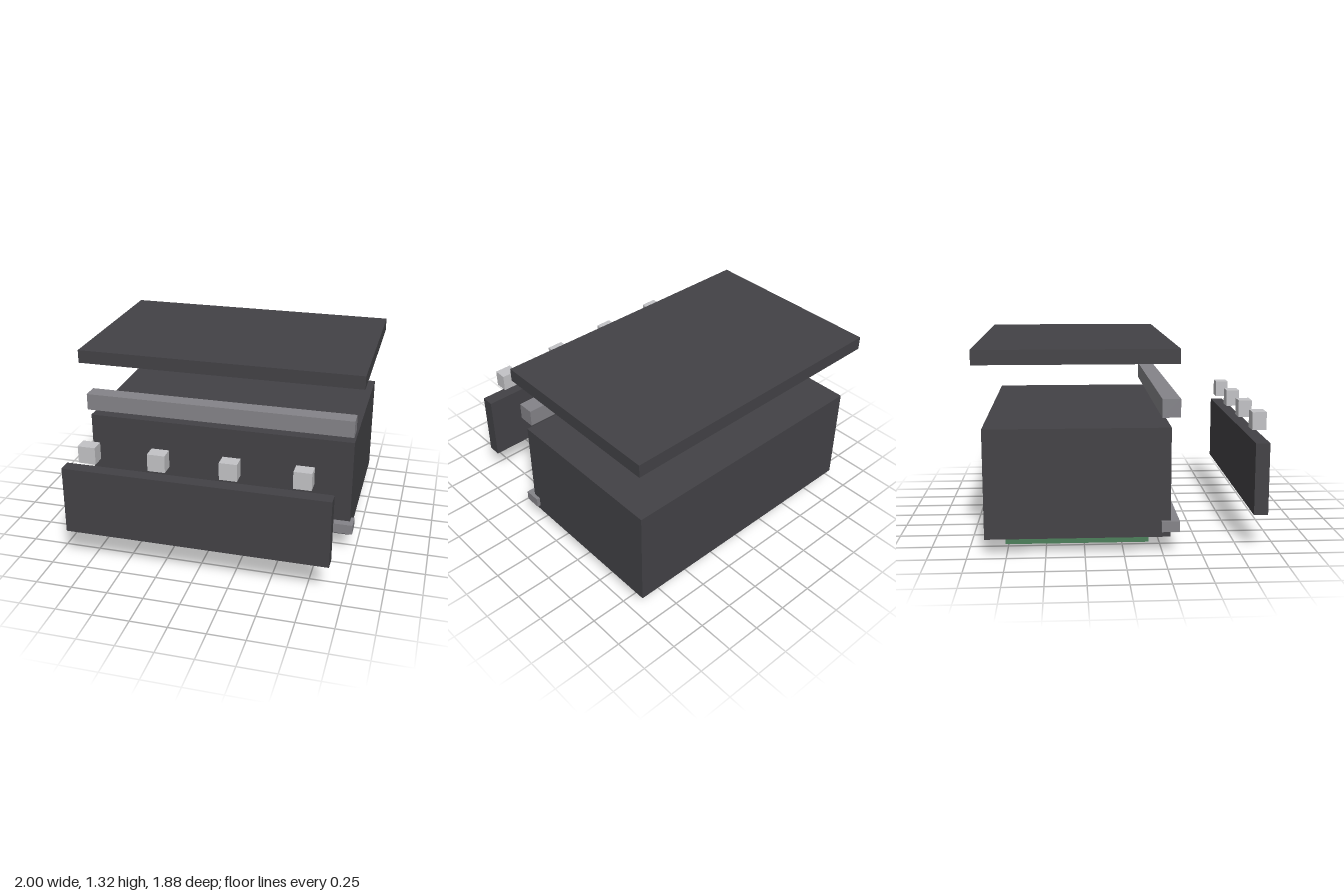
import * as THREE from 'three';

export function createModel() {
  const model = new THREE.Group();
  model.name = 'explodedEnclosure';
  const material = (name, color) => {
    const m = new THREE.MeshStandardMaterial({ color });
    m.name = name;
    return m;
  };
  const charcoal = material('charcoal', 0x434246);
  const grey = material('midGrey', 0x858489);
  const silver = material('lightGrey', 0xc3c3c6);
  const green = material('boardGreen', 0x4c805a);

  // Box given by its extents along each axis
  const box = (name, mat, [x0, x1], [y0, y1], [z0, z1]) => {
    const mesh = new THREE.Mesh(new THREE.BoxGeometry(x1 - x0, y1 - y0, z1 - z0), mat);
    mesh.position.set((x0 + x1) / 2, (y0 + y1) / 2, (z0 + z1) / 2);
    mesh.name = name;
    model.add(mesh);
  };

  // Enclosure and the parts lifted off it
  box('body', charcoal, [-0.95, 0.95], [0.11, 0.823], [-0.89, 0.3]);
  box('lid', charcoal, [-1, 1], [1.23, 1.323], [-0.94, 0.345]);
  box('frontPanel', charcoal, [-0.903, 0.903], [0.23, 0.705], [0.847, 0.94]);

  // Front rails
  box('upperRail', grey, [-0.95, 0.95], [0.886, 1.004], [0.24, 0.357]);
  box('lowerRail', grey, [-0.975, 0.975], [0.148, 0.218], [0.24, 0.357]);

  // Row of buttons above the front panel
  [-0.714, -0.239, 0.237, 0.712].forEach((x, i) =>
    box(`button${i + 1}`, silver, [x - 0.059, x + 0.059], [0.766, 0.884], [0.847, 0.94]));

  // Circuit boards and chips under the body
  box('mainBoard', green, [-0.713, 0.713], [0, 0.072], [-0.773, 0.18]);
  box('frontBoard', green, [-0.475, 0.475], [0.06, 0.112], [-0.178, 0.3]);
  box('sideChip', charcoal, [0.415, 0.653], [0.07, 0.112], [-0.057, 0.18]);
  box('mainChip', charcoal, [-0.178, 0.178], [0.07, 0.096], [-0.533, -0.178]);

  return model;
}
